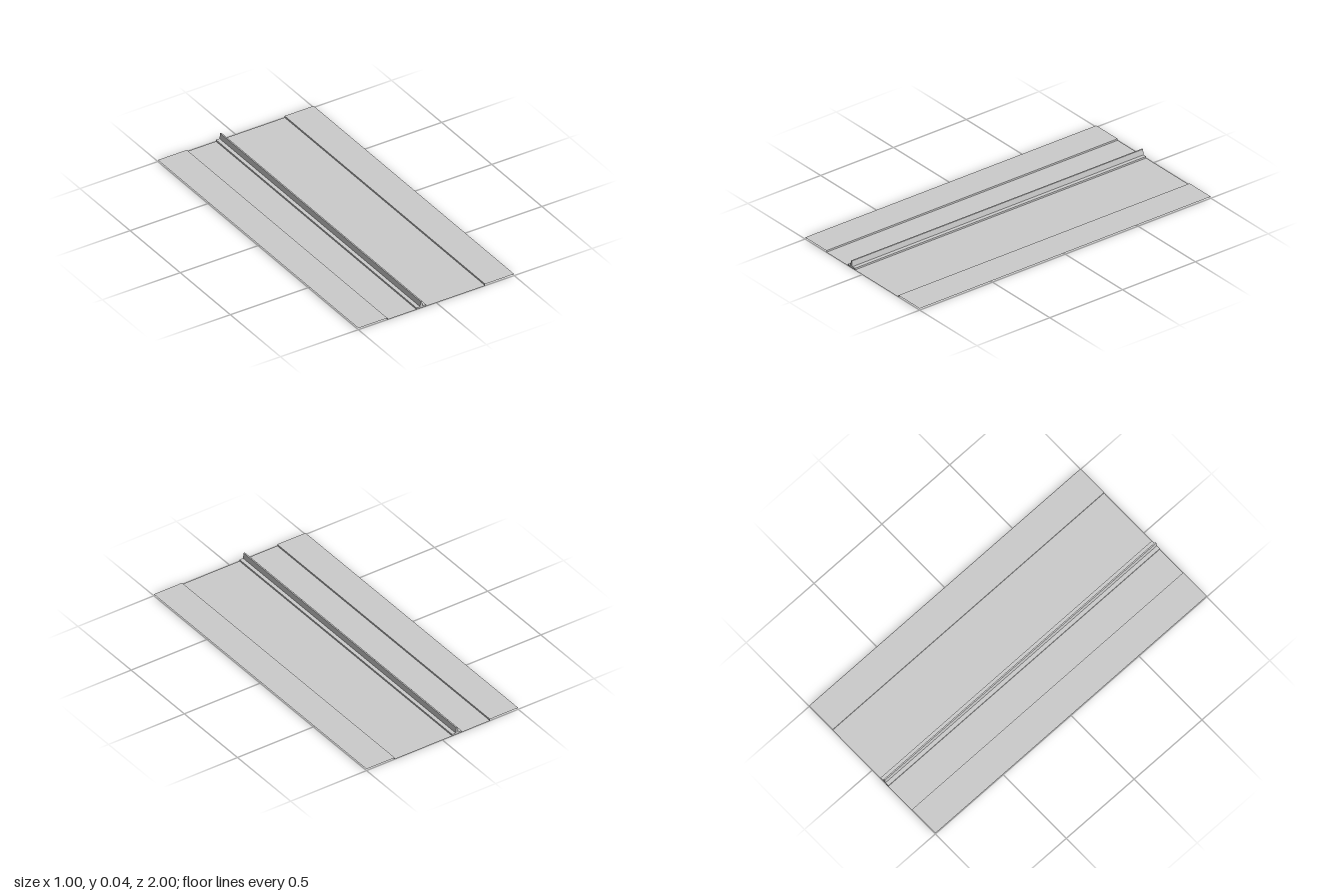
import * as THREE from 'three';

const HALF_LENGTH = 1;
const CURB = 0.01;

const material = new THREE.MeshStandardMaterial({
  color: 0xcccccc, flatShading: true, side: THREE.DoubleSide,
});

// Sweeps an open cross-section, listed from -x to +x, along the road
function sheet(name, profile) {
  const positions = [];
  for (let i = 0; i < profile.length - 1; i++) {
    const [ax, ay] = profile[i];
    const [bx, by] = profile[i + 1];
    const a = [ax, ay, HALF_LENGTH], b = [bx, by, HALF_LENGTH];
    const c = [bx, by, -HALF_LENGTH], d = [ax, ay, -HALF_LENGTH];
    positions.push(...a, ...b, ...c, ...a, ...c, ...d);
  }
  const geometry = new THREE.BufferGeometry();
  geometry.setAttribute('position', new THREE.Float32BufferAttribute(positions, 3));
  geometry.computeVertexNormals();
  const mesh = new THREE.Mesh(geometry, material);
  mesh.name = name;
  return mesh;
}

export function createModel() {
  const road = new THREE.Group();
  road.name = 'road';

  // Raised sidewalks with their curbs
  const inner = 0.314, outer = 0.5;
  road.add(sheet('rightSidewalk', [[-outer, CURB], [-inner, CURB], [-inner, 0]]));
  road.add(sheet('leftSidewalk', [[inner, 0], [inner, CURB], [outer, CURB]]));

  // Carriageways on either side of the off-centre median
  const centre = -0.096, half = 0.031;
  road.add(sheet('rightLanes', [[-inner, 0], [centre - half, 0]]));
  road.add(sheet('leftLanes', [[centre + half, 0], [inner, 0]]));

  // Median curb and tapered barrier, open underneath
  const side = [[half, 0], [half, CURB], [0.008, CURB], [0.004, 0.043]];
  const profile = [
    ...side.map(([x, y]) => [centre - x, y]),
    ...side.slice().reverse().map(([x, y]) => [centre + x, y]),
  ];
  road.add(sheet('medianBarrier', profile));

  // End caps of the median
  const capShape = new THREE.Shape(profile.map(([x, y]) => new THREE.Vector2(x, y)));
  for (const [name, z] of [['frontMedianCap', HALF_LENGTH], ['backMedianCap', -HALF_LENGTH]]) {
    const cap = new THREE.Mesh(new THREE.ShapeGeometry(capShape), material);
    if (z < 0) {
      cap.rotation.y = Math.PI;
      cap.scale.x = -1;
    }
    cap.position.z = z;
    cap.name = name;
    road.add(cap);
  }

  return road;
}
